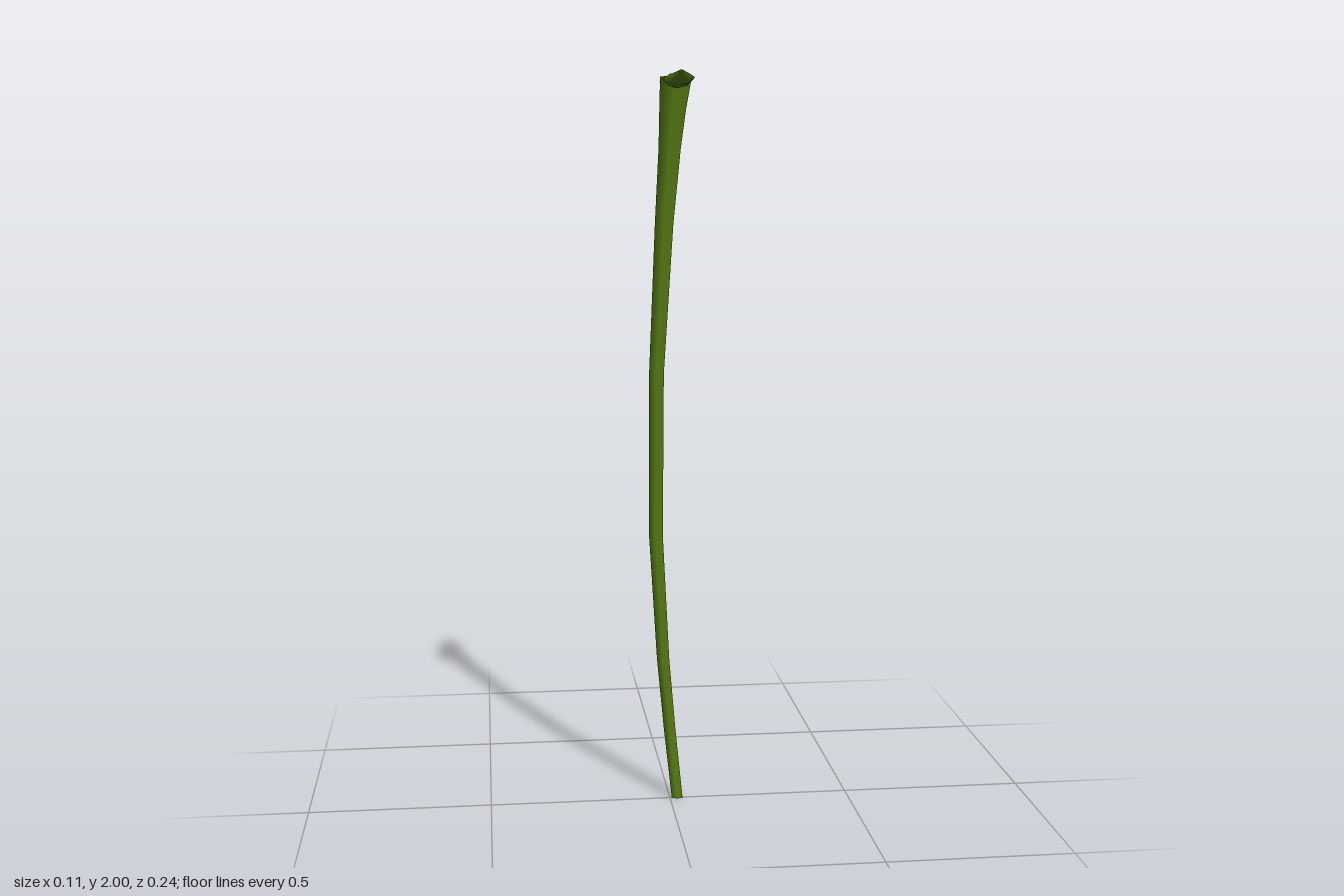
import * as THREE from 'three';

// Closed skin through rings of [x, y, z] points, with separate flat end caps
function loft(rings) {
  const n = rings[0].length, pos = rings.flat(2), idx = [];
  for (let r = 0; r < rings.length - 1; r++) {
    for (let i = 0; i < n; i++) {
      const a = r * n + i, b = r * n + (i + 1) % n;
      idx.push(a, a + n, b, b, a + n, b + n);
    }
  }
  const cap = (ring, flip) => {
    const start = pos.length / 3;
    pos.push(...ring.flat());
    for (let i = 1; i < n - 1; i++) {
      if (flip) idx.push(start, start + i, start + i + 1);
      else idx.push(start, start + i + 1, start + i);
    }
  };
  cap(rings[0], true);
  cap(rings[rings.length - 1], false);
  const g = new THREE.BufferGeometry();
  g.setAttribute('position', new THREE.Float32BufferAttribute(pos, 3));
  g.setIndex(idx);
  g.computeVertexNormals();
  return g;
}

export function createModel() {
  const group = new THREE.Group();
  const green = new THREE.MeshStandardMaterial({ color: 0x567b0f, side: THREE.DoubleSide });
  green.name = 'stemGreen';
  const add = (name, geometry) => {
    const mesh = new THREE.Mesh(geometry, green);
    mesh.name = name;
    group.add(mesh);
  };

  // Bowed stem: an uneven hexagon swept upward, flaring at the top
  const hexagon = [[0.95, 0.8], [-0.1, 1.08], [-0.92, 0.45], [-0.82, -0.3], [0.1, -1.08], [0.95, -0.3]];
  const stem = [ // y, centre x, centre z, radius
    [0, 0.02, -0.008, 0.016],
    [0.2, 0, -0.022, 0.017],
    [0.4, -0.017, -0.033, 0.018],
    [0.75, -0.036, -0.039, 0.02],
    [1.2, -0.034, -0.039, 0.021],
    [1.6, -0.014, -0.034, 0.026],
    [1.8, 0, -0.029, 0.031],
    [1.9, 0.007, -0.025, 0.037],
    [1.985, 0.015, -0.023, 0.044],
  ];
  add('stem', loft(stem.map(([y, cx, cz, r]) => hexagon.map(([x, z]) => [cx + x * r, y, cz + z * r]))));

  // Boat-shaped sepals curling up to a point; dir is +1 for front, -1 for back
  const sepal = (rows, dir) => loft(rows.map(([z, y, w, t]) => [
    [1, 0.5], [0.6, -0.6], [0, -1], [-0.6, -0.6], [-1, 0.5], [-0.6, 0.35], [0, 0.1], [0.6, 0.35],
  ].map(([x, h]) => [0.017 + dir * x * w, y + h * t, z])));
  // rows: z, y, half width, thickness
  add('frontSepal', sepal([
    [-0.01, 1.972, 0.036, 0.014],
    [0.03, 1.969, 0.041, 0.015],
    [0.08, 1.973, 0.039, 0.013],
    [0.1, 1.981, 0.026, 0.01],
    [0.12, 1.995, 0.002, 0.003],
  ], 1));
  add('backSepal', sepal([
    [-0.03, 1.97, 0.034, 0.012],
    [-0.065, 1.967, 0.038, 0.013],
    [-0.09, 1.973, 0.031, 0.011],
    [-0.108, 1.984, 0.017, 0.008],
    [-0.121, 1.998, 0.002, 0.002],
  ], -1));

  return group;
}
